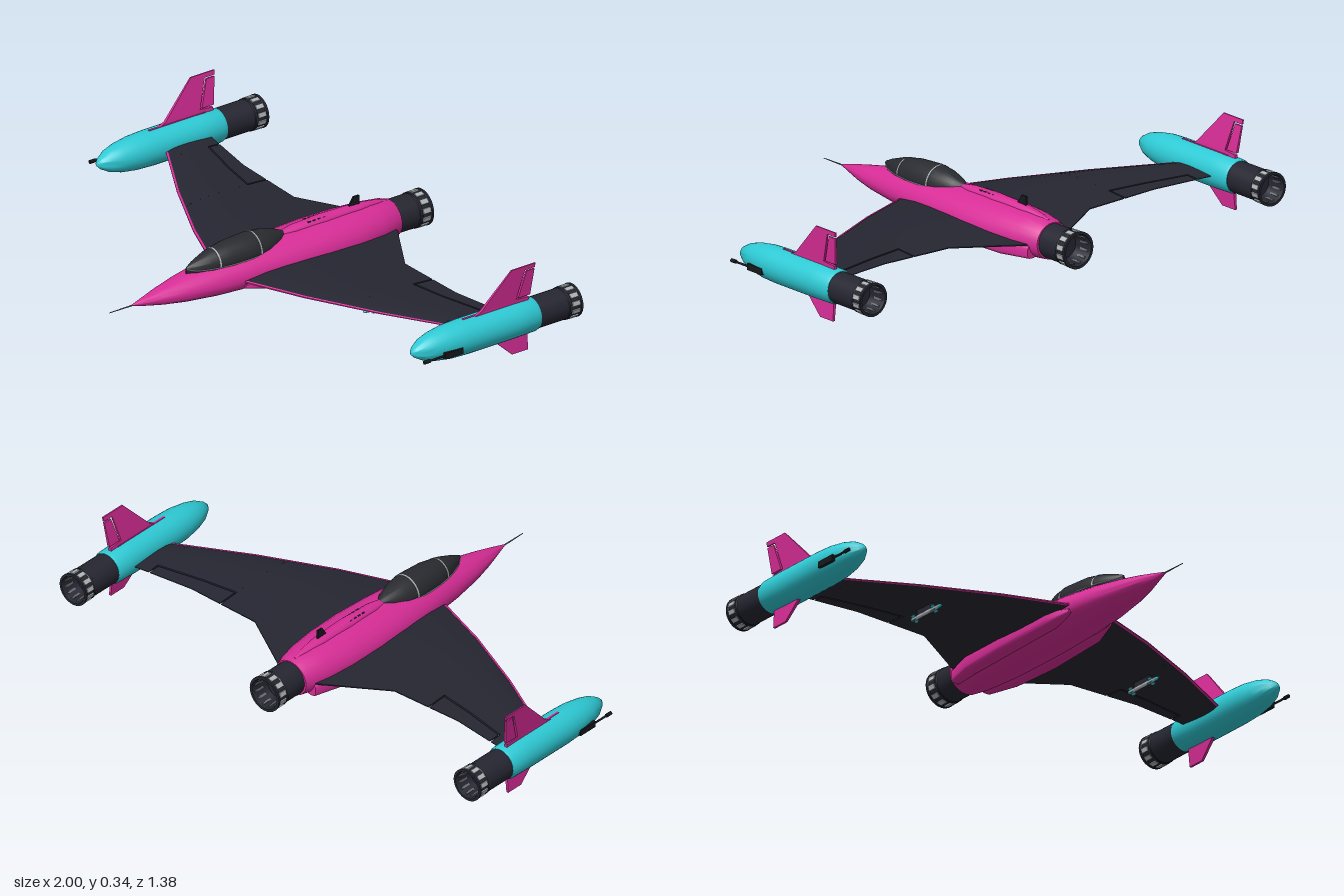
import * as THREE from 'three';
import { toCreasedNormals } from 'three/addons/utils/BufferGeometryUtils.js';

const mat = (name, color) => new THREE.MeshStandardMaterial({ name, color });
const M = {
  magenta: mat('magenta paint', 0xd82d97),
  teal: mat('teal paint', 0x2ecad5),
  dark: mat('dark wing paint', 0x252631),
  black: mat('black metal', 0x17181d),
  glass: mat('dark canopy glass', 0x2a2b30),
  grey: mat('light grey metal', 0xb0b5b9),
  steel: mat('steel', 0x6c7076),
};

function add(parent, name, geometry, material, x = 0, y = 0, z = 0) {
  const mesh = new THREE.Mesh(geometry, material);
  mesh.name = name;
  mesh.position.set(x, y, z);
  parent.add(mesh);
  return mesh;
}

// Skin closed rings of [x, y, z] points and cap both ends
function loft(rings, crease = 0.6) {
  const n = rings[0].length, pos = [], index = [];
  rings.forEach(r => r.forEach(p => pos.push(...p)));
  for (let i = 0; i < rings.length - 1; i++) for (let j = 0; j < n; j++) {
    const a = i * n + j, b = i * n + (j + 1) % n;
    index.push(a, a + n, b, b, a + n, b + n);
  }
  const last = (rings.length - 1) * n;
  for (let j = 1; j < n - 1; j++) index.push(0, j, j + 1, last, last + j + 1, last + j);
  const g = new THREE.BufferGeometry();
  g.setAttribute('position', new THREE.Float32BufferAttribute(pos, 3));
  g.setIndex(index);
  return toCreasedNormals(g, crease);
}

// Oval ring across z: half width, bottom, widest height, top
function oval(z, w, bottom, mid, top, x = 0, n = 28, power = 1) {
  return Array.from({ length: n }, (_, j) => {
    const a = j / n * Math.PI * 2, c = Math.cos(a), s = Math.sin(a);
    const sq = v => Math.sign(v) * Math.abs(v) ** power;
    return [x + w * sq(c), mid + (s > 0 ? top - mid : mid - bottom) * sq(s), z];
  });
}

// Turned part along z from [radius, z] points, rear to front
function turned(points, segments = 32) {
  const g = new THREE.LatheGeometry(points.map(p => new THREE.Vector2(...p)), segments);
  return toCreasedNormals(g.rotateX(Math.PI / 2), 0.6);
}

// Piecewise linear lookup
function lerpTable(table, x) {
  let i = 0;
  while (i < table.length - 2 && x > table[i + 1][0]) i++;
  const [x0, y0] = table[i], [x1, y1] = table[i + 1];
  return y0 + (y1 - y0) * (x - x0) / (x1 - x0);
}

const lead = x => lerpTable([[0.05, 0.185], [0.1, 0.16], [0.33, 0.07], [0.6, -0.06], [0.9, -0.228]], x);
const trail = x => lerpTable([[0.05, -0.53], [0.08, -0.52], [0.33, -0.37], [0.63, -0.37], [0.9, -0.41]], x);
const hinge = x => lerpTable([[0.49, -0.283], [0.63, -0.305], [0.81, -0.345]], x);

// Wing slab between two chord lines, sharing one airfoil
function wingPart(xs, front, back) {
  return loft(xs.map(x => {
    const up = [], low = [];
    for (let i = 0; i <= 8; i++) {
      const z = front(x) + (back(x) - front(x)) * i / 8;
      const f = THREE.MathUtils.clamp((lead(x) - z) / (lead(x) - trail(x)), 0, 1);
      const h = (0.021 - 0.014 * x) * (0.12 + 0.88 * Math.sin(Math.PI * f ** 0.65));
      const y = 0.112 + 0.023 * x;
      up.push([x, y + h, z]);
      low.unshift([x, y - h, z]);
    }
    return [...up, ...low];
  }), 0.5);
}

// Thin fin plate from [z, y] points, tapered and leaning outward
function finPlate(points, lean, thick = 0.012) {
  const shape = new THREE.Shape(points.map(p => new THREE.Vector2(...p)));
  const g = new THREE.ExtrudeGeometry(shape, { depth: 1, bevelEnabled: false });
  g.translate(0, 0, -0.5).rotateY(-Math.PI / 2);
  const p = g.attributes.position;
  for (let i = 0; i < p.count; i++) {
    const d = Math.abs(p.getY(i) - 0.135);
    p.setX(i, p.getX(i) * thick * (1.2 - 3.6 * d) + Math.max(0, d - 0.06) * lean);
  }
  g.computeVertexNormals();
  return g;
}

// Exhaust with hollow mouth, ribs and a crown of petals
function engine(parent, x, y, zFront, zEnd, r) {
  const g = new THREE.Group();
  g.name = 'engine';
  g.position.set(x, y, zEnd);
  parent.add(g);
  add(g, 'exhaustSleeve', turned([[0, 0.07], [0.7 * r, 0.07], [0.88 * r, 0], [1.03 * r, 0], [1.03 * r, 0.008],
    [0.95 * r, 0.011], [0.95 * r, 0.044], [r, 0.047], [r, 0.056], [0.96 * r, 0.058],
    [0.96 * r, zFront - zEnd], [0, zFront - zEnd]]), M.dark);
  for (let i = 0; i < 12; i++) {
    const pivot = new THREE.Group();
    pivot.rotation.z = (i + 0.5) / 12 * Math.PI * 2;
    g.add(pivot);
    add(pivot, 'exhaustPetal', new THREE.BoxGeometry(0.008, r * 0.28, 0.032), M.grey, 0.945 * r, 0, 0.0275);
    add(pivot, 'innerVane', new THREE.BoxGeometry(0.004, r * 0.12, 0.04), M.steel, 0.78 * r, 0, 0.03);
  }
}

function buildSide() {
  const s = new THREE.Group();
  // Wing in three spans around the aileron cut-out
  add(s, 'innerWing', wingPart([0.05, 0.1, 0.2, 0.33, 0.49], lead, trail), M.dark);
  add(s, 'middleWing', wingPart([0.49, 0.6, 0.63, 0.81], lead, hinge), M.dark);
  add(s, 'outerWing', wingPart([0.81, 0.9], lead, trail), M.dark);
  add(s, 'aileron', wingPart([0.496, 0.63, 0.804], x => hinge(x) - 0.007, trail), M.dark);
  add(s, 'leadingEdge', wingPart([0.1, 0.33, 0.6, 0.88], x => lead(x) + 0.006, x => lead(x) - 0.003), M.magenta);

  // Lower side duct along the body
  add(s, 'sideDuct', loft([[0.16, 0.012, 0.085, 0.1, 0.085], [0.06, 0.03, 0.064, 0.118, 0.096],
    [-0.2, 0.034, 0.057, 0.122, 0.1], [-0.4, 0.03, 0.057, 0.12, 0.092], [-0.52, 0.02, 0.062, 0.11, 0.07]]
    .map(([z, w, b, t, x]) => oval(z, w, b, (b + t) / 2, t, x, 20, 0.5))), M.magenta);

  // Wingtip nacelle
  const X = 0.932, Y = 0.134;
  add(s, 'nacelle', turned([[0, -0.482], [0.06, -0.482], [0.064, -0.47], [0.066, -0.38], [0.066, -0.17], [0.063, -0.1],
    [0.054, -0.04], [0.041, 0.005], [0.022, 0.038], [0.008, 0.052], [0, 0.055]]), M.teal, X, Y, 0);
  engine(s, X, Y, -0.47, -0.662, 0.061);

  // Fins, with the rudder set behind a narrow gap
  add(s, 'upperFin', finPlate([[-0.2, 0.19], [-0.25, 0.21], [-0.375, 0.343], [-0.48, 0.343], [-0.478, 0.326],
    [-0.435, 0.326], [-0.403, 0.215], [-0.46, 0.21], [-0.46, 0.19]], 0.12), M.magenta, X + 0.003);
  add(s, 'rudder', finPlate([[-0.442, 0.32], [-0.477, 0.32], [-0.465, 0.218], [-0.412, 0.218]], 0.12), M.magenta, X + 0.003);
  add(s, 'lowerFin', finPlate([[-0.31, 0.08], [-0.325, 0.06], [-0.385, 0.003], [-0.455, 0.003], [-0.455, 0.08]], 0.08),
    M.magenta, X + 0.002);
  add(s, 'finRoot', new THREE.BoxGeometry(0.008, 0.008, 0.25), M.magenta, X, 0.198, -0.3);

  // Gun on the outer flank
  add(s, 'gunHousing', new THREE.BoxGeometry(0.012, 0.024, 0.08), M.black, 0.992, 0.116, -0.09);
  const rod = (r, l) => new THREE.CylinderGeometry(r, r, l, 12).rotateX(Math.PI / 2);
  add(s, 'gunBarrel', rod(0.004, 0.1), M.black, 0.992, 0.116, -0.01);
  add(s, 'gunMuzzle', rod(0.007, 0.025), M.black, 0.992, 0.116, 0.027);

  // Underwing missile on its pylon
  add(s, 'pylon', new THREE.BoxGeometry(0.006, 0.03, 0.09), M.dark, 0.49, 0.104, -0.16);
  add(s, 'missileBody', rod(0.007, 0.15), M.grey, 0.49, 0.084, -0.16);
  add(s, 'missileNose', turned([[0.007, 0], [0.005, 0.012], [0, 0.022]], 12), M.teal, 0.49, 0.084, -0.085);
  for (const z of [-0.11, -0.22]) for (const a of [Math.PI / 4, -Math.PI / 4]) {
    add(s, 'missileFin', new THREE.BoxGeometry(0.032, 0.002, 0.02), M.teal, 0.49, 0.084, z).rotation.z = a;
  }
  return s;
}

export function createModel() {
  const model = new THREE.Group();
  model.name = 'fighter';

  // Fuselage: z, half width, bottom, widest height, top
  add(model, 'fuselage', loft([[0.59, 0.003, 0.107, 0.11, 0.113], [0.54, 0.018, 0.095, 0.11, 0.126],
    [0.47, 0.04, 0.081, 0.11, 0.142], [0.38, 0.063, 0.069, 0.11, 0.16], [0.25, 0.086, 0.058, 0.112, 0.181],
    [0.1, 0.104, 0.053, 0.115, 0.196], [-0.06, 0.117, 0.05, 0.117, 0.203], [-0.2, 0.122, 0.049, 0.118, 0.207],
    [-0.34, 0.117, 0.049, 0.118, 0.207], [-0.45, 0.102, 0.05, 0.118, 0.204], [-0.52, 0.084, 0.05, 0.118, 0.197],
    [-0.55, 0.072, 0.052, 0.118, 0.188]].map(a => oval(...a))), M.magenta);
  engine(model, 0, 0.12, -0.52, -0.692, 0.067);
  const probe = new THREE.CylinderGeometry(0.0015, 0.003, 0.11, 8).rotateX(Math.PI / 2);
  add(model, 'noseProbe', probe, M.steel, 0, 0.11, 0.635);

  // Raised spine with vents and aerial
  add(model, 'spine', loft([[-0.04, 0.012, 0.205], [-0.12, 0.026, 0.217], [-0.25, 0.03, 0.221], [-0.4, 0.026, 0.218],
    [-0.48, 0.016, 0.208], [-0.53, 0.005, 0.196]].map(([z, w, t]) => oval(z, w, 0.17, 0.19, t, 0, 16, 0.8))), M.magenta);
  for (const x of [-0.014, 0.014]) for (let i = 0; i < 4; i++) {
    add(model, 'spineVent', new THREE.BoxGeometry(0.005, 0.006, 0.012), M.dark, x, 0.2155, -0.18 - i * 0.022);
  }
  add(model, 'aerial', finPlate([[-0.36, 0.21], [-0.385, 0.25], [-0.41, 0.25], [-0.41, 0.21]], 0, 0.008), M.black);

  // Canopy: z, half width, base, top
  const canopy = [[0.352, 0.004, 0.182, 0.188], [0.32, 0.024, 0.175, 0.203], [0.26, 0.046, 0.174, 0.224],
    [0.18, 0.061, 0.175, 0.24], [0.08, 0.065, 0.178, 0.246], [0.02, 0.058, 0.18, 0.24],
    [-0.04, 0.038, 0.185, 0.224], [-0.085, 0.008, 0.19, 0.206]];
  add(model, 'canopy', loft(canopy.map(([z, w, b, t]) => oval(z, w, b - 0.02, b, t))), M.glass);
  const at = (z, k) => lerpTable(canopy.map(c => [-c[0], c[k]]), -z);
  for (const z of [0.235, 0.063]) {
    const hoop = [z + 0.003, z - 0.003].map(q =>
      oval(q, at(q, 1) + 0.0015, at(q, 2) - 0.01, at(q, 2), at(q, 3) + 0.0015));
    add(model, 'canopyHoop', loft(hoop), M.grey);
  }
  for (const side of [1, -1]) {
    const sill = canopy.map(([z, w, b]) => new THREE.Vector3(side * w, b, z));
    add(model, 'canopySill', new THREE.TubeGeometry(new THREE.CatmullRomCurve3(sill), 32, 0.002, 6), M.grey);
  }

  // Mirrored wings, nacelles and weapons
  for (const [name, sign] of [['leftSide', 1], ['rightSide', -1]]) {
    const half = buildSide();
    half.name = name;
    half.scale.x = sign;
    model.add(half);
  }
  return model;
}
